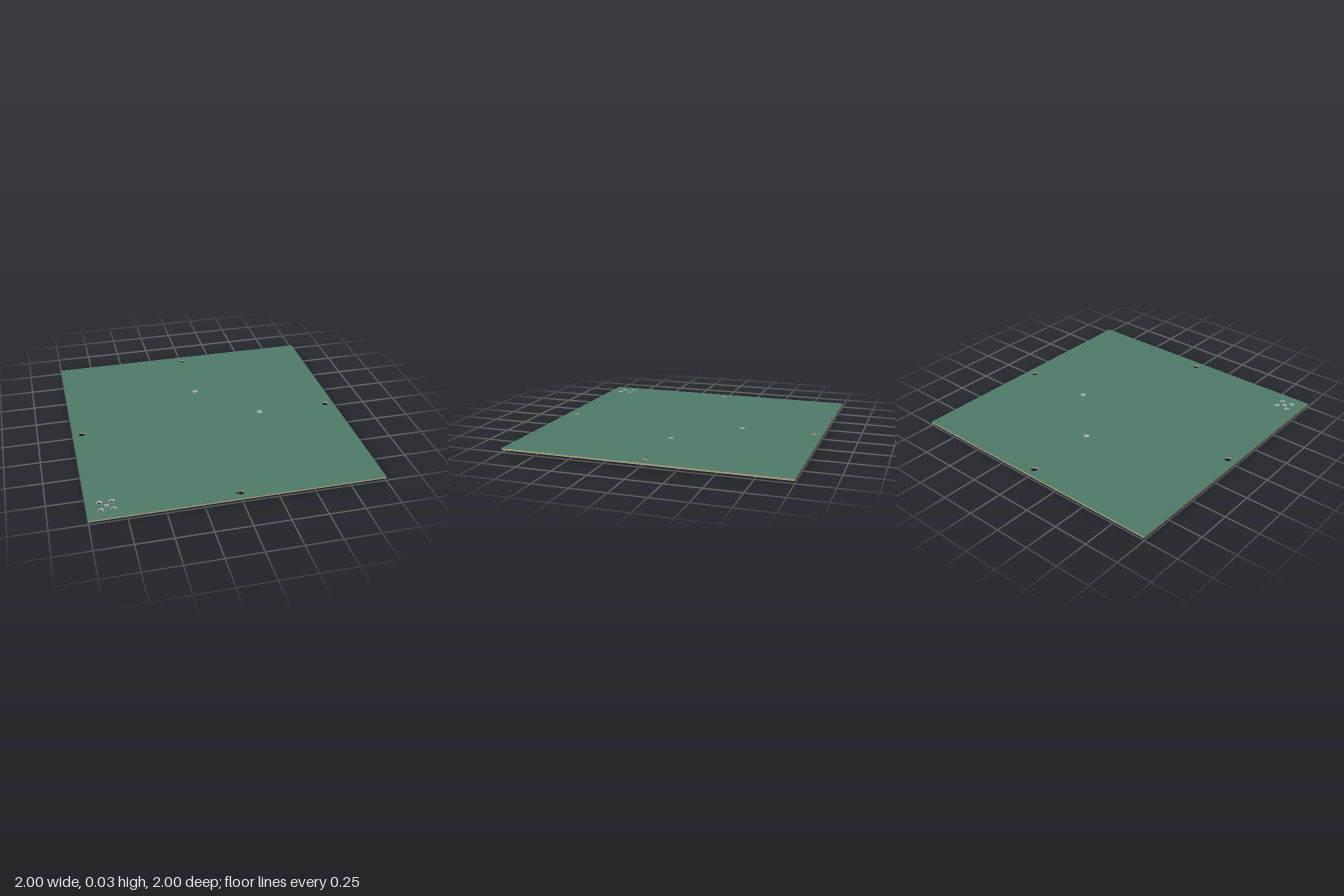
import * as THREE from 'three';

const mat = (color) => new THREE.MeshStandardMaterial({ color });
const BOTTOM = 0.016, TOP = 0.03, SKIN = 0.001;

// [x, z, hole radius]
const mountHoles = [[-0.935, 0], [0.935, 0], [0, -0.935], [0, 0.935]].map(([x, z]) => [x, z, 0.026]);
const feedHoles = [[0, -0.41, 0.01], [0.408, 0, 0.01]];
const connectorHoles = [[-0.87, 0.87, 0.012]];
for (const dx of [-0.04, 0.04]) for (const dz of [-0.04, 0.04]) connectorHoles.push([-0.87 + dx, 0.87 + dz, 0.015]);
const platedHoles = [...feedHoles, ...connectorHoles];

// Square sheet with every drill hole, lying flat from y0 to y1
function sheet(name, y0, y1, material) {
  const shape = new THREE.Shape([
    new THREE.Vector2(-1, -1), new THREE.Vector2(1, -1), new THREE.Vector2(1, 1), new THREE.Vector2(-1, 1),
  ]);
  for (const [x, z, r] of [...mountHoles, ...platedHoles]) {
    shape.holes.push(new THREE.Path().absarc(x, -z, r, 0, Math.PI * 2, true));
  }
  const geo = new THREE.ExtrudeGeometry(shape, { depth: y1 - y0, bevelEnabled: false, curveSegments: 16 });
  geo.rotateX(-Math.PI / 2);
  const mesh = new THREE.Mesh(geo, material);
  mesh.name = name;
  mesh.position.y = y0;
  return mesh;
}

// Flat plating ring at height y
function padRing(x, z, r, width, up, material) {
  const geo = new THREE.RingGeometry(r, r + width, 24);
  geo.rotateX(up ? -Math.PI / 2 : Math.PI / 2);
  const mesh = new THREE.Mesh(geo, material);
  mesh.name = up ? 'topPad' : 'bottomPad';
  mesh.position.set(x, up ? TOP + 0.0004 : BOTTOM - 0.0004, z);
  return mesh;
}

// Two-terminal chip hanging under the board
function chip(name, x, z, len, wide, high, angle, bodyMat, endMat) {
  const group = new THREE.Group();
  group.name = name;
  const body = new THREE.Mesh(new THREE.BoxGeometry(len * 0.6, high, wide), bodyMat);
  body.name = 'chipBody';
  group.add(body);
  for (const s of [-1, 1]) {
    const end = new THREE.Mesh(new THREE.BoxGeometry(len * 0.2, high, wide), endMat);
    end.name = 'chipTerminal';
    end.position.x = s * len * 0.4;
    group.add(end);
  }
  group.position.set(x, BOTTOM - high / 2, z);
  group.rotation.y = angle;
  return group;
}

export function createModel() {
  const model = new THREE.Group();
  model.name = 'circuitBoard';
  const green = mat(0x4f7a67), laminate = mat(0xa9a384), metal = mat(0xbfbfbb), dark = mat(0x2b2a2a);

  // Laminate core between two solder mask skins
  model.add(sheet('bottomMask', BOTTOM, BOTTOM + SKIN, green));
  model.add(sheet('laminateCore', BOTTOM + SKIN, TOP - SKIN, laminate));
  model.add(sheet('topMask', TOP - SKIN, TOP, green));

  // Plated holes: a ring on each face and a barrel lining
  const barrelMat = mat(0xbfbfbb);
  barrelMat.side = THREE.DoubleSide;
  for (const [x, z, r] of platedHoles) {
    const width = r === 0.01 ? 0.009 : 0.004;
    model.add(padRing(x, z, r, width, true, metal), padRing(x, z, r, width, false, metal));
    const barrel = new THREE.Mesh(
      new THREE.CylinderGeometry(r * 0.98, r * 0.98, TOP - BOTTOM, 24, 1, true), barrelMat);
    barrel.name = 'holeBarrel';
    barrel.position.set(x, (TOP + BOTTOM) / 2, z);
    model.add(barrel);
  }

  // Underside parts, mirrored across the board diagonal
  const parts = [
    ['feedChip', -0.045, -0.35, 0.026, 0.022, BOTTOM, 0, dark],
    ['connectorChip', -0.815, 0.77, 0.027, 0.014, 0.009, Math.PI / 4, dark],
    ['edgeChip', -0.945, 0.545, 0.027, 0.014, 0.009, Math.PI / 4, dark],
  ];
  for (const [name, x, z, len, wide, high, angle, body] of parts) {
    model.add(chip(name, x, z, len, wide, high, angle, body, metal));
    model.add(chip(name + 'Mirrored', -z, -x, len, wide, high, Math.PI / 2 - angle, body, metal));
  }
  return model;
}
